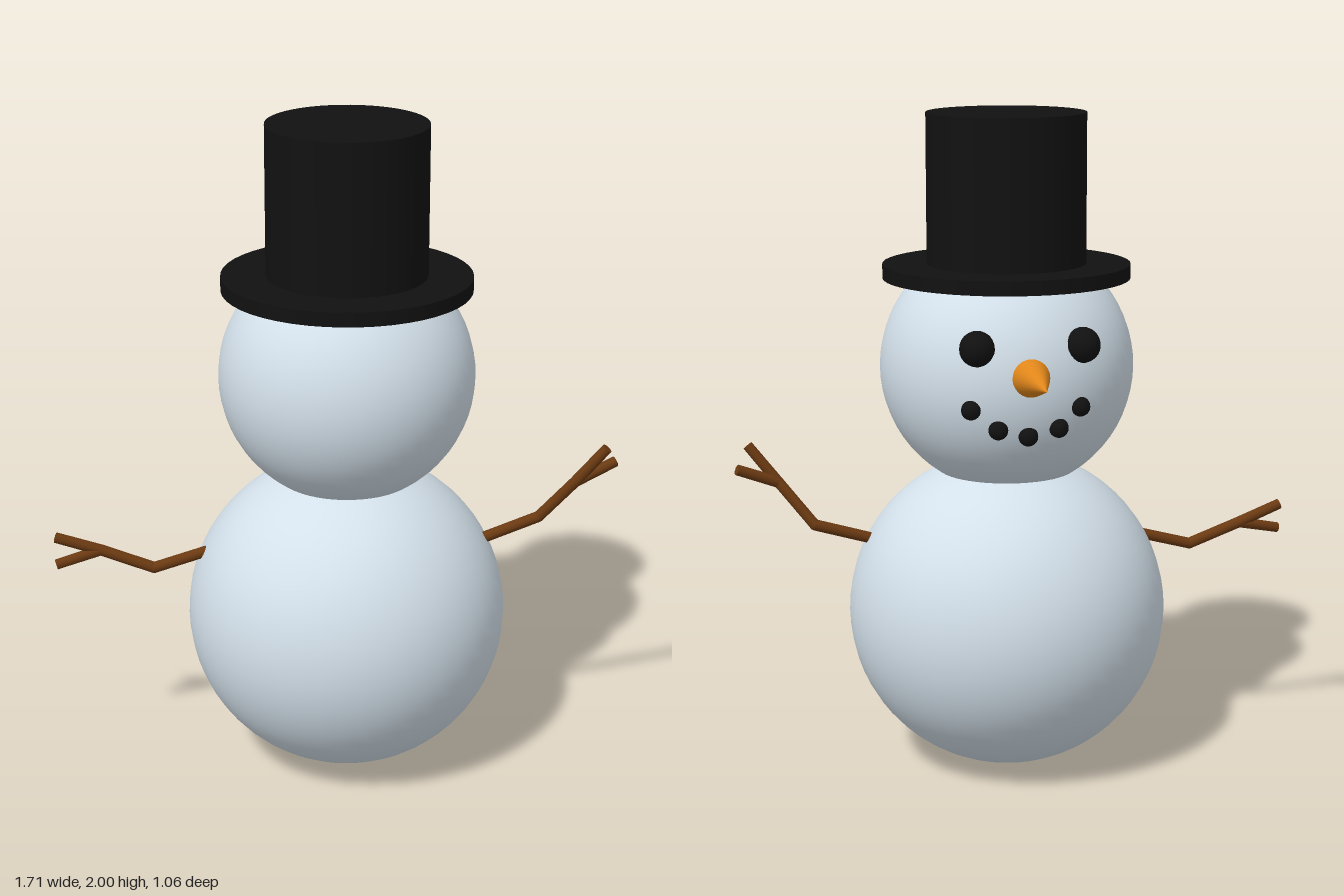
import * as THREE from 'three';

const CX = 0.03, CZ = 0.047; // vertical axis of the figure
const HEAD_Y = 1.246, HEAD_R = 0.381;

const mat = (color) => new THREE.MeshStandardMaterial({ color });
const snow = mat(0xd3e0ea), black = mat(0x111111), orange = mat(0xe0861a), wood = mat(0x6b3a12);

function add(parent, name, geometry, material, x = 0, y = 0, z = 0) {
  const mesh = new THREE.Mesh(geometry, material);
  mesh.name = name;
  mesh.position.set(x, y, z);
  parent.add(mesh);
  return mesh;
}

// Straight twig between two points
function twig(parent, name, a, b, r0, r1) {
  const from = new THREE.Vector3(...a), to = new THREE.Vector3(...b);
  const dir = to.clone().sub(from);
  const mid = from.clone().add(to).multiplyScalar(0.5);
  const mesh = add(parent, name, new THREE.CylinderGeometry(r1, r0, dir.length(), 10), wood, mid.x, mid.y, mid.z);
  mesh.quaternion.setFromUnitVectors(new THREE.Vector3(0, 1, 0), dir.normalize());
}

// Bent stick with two fingers growing from its end
function stickArm(parent, name, path, fingers) {
  const arm = new THREE.Group();
  arm.name = name;
  const r = 0.017;
  for (let i = 0; i < path.length - 1; i++) {
    twig(arm, 'armStick', path[i], path[i + 1], r, r);
    add(arm, 'armJoint', new THREE.SphereGeometry(r, 10, 8), wood, ...path[i + 1]);
  }
  for (const tip of fingers) twig(arm, 'finger', path[path.length - 1], tip, r, r * 0.95);
  parent.add(arm);
}

// Lump of coal pressed into the face; dx, dy are offsets from the head centre
function coal(parent, name, dx, dy, r) {
  const dz = -Math.sqrt(HEAD_R ** 2 - dx * dx - dy * dy);
  add(parent, name, new THREE.SphereGeometry(r, 16, 12), black, CX + dx, HEAD_Y + dy, CZ + dz);
}

export function createModel() {
  const model = new THREE.Group();
  model.name = 'snowman';

  // Snowballs
  add(model, 'body', new THREE.SphereGeometry(0.483, 48, 32), snow, CX, 0.488, CZ);
  add(model, 'head', new THREE.SphereGeometry(HEAD_R, 48, 32), snow, CX, HEAD_Y, CZ);

  // Top hat
  const hat = new THREE.Group();
  hat.name = 'hat';
  add(hat, 'hatBrim', new THREE.CylinderGeometry(0.37, 0.37, 0.043, 48), black, CX, 1.532, CZ);
  add(hat, 'hatCrown', new THREE.CylinderGeometry(0.238, 0.238, 0.48, 48), black, CX, 1.76, CZ);
  model.add(hat);

  // Face, looking towards -z
  for (const side of [-1, 1]) coal(model, 'eye', side * 0.155, 0.111, 0.052);
  const smile = [[-0.145, -0.066], [-0.08, -0.125], [0.01, -0.146], [0.097, -0.125], [0.174, -0.066]];
  for (const [dx, dy] of smile) coal(model, 'mouthCoal', dx, dy, 0.029);
  const nose = add(model, 'nose', new THREE.ConeGeometry(0.06, 0.215, 24), orange, 0.036, 1.273, -0.418);
  nose.rotation.x = -Math.PI / 2;

  // Stick arms
  stickArm(model, 'leftArm',
    [[0.43, 0.712, 0.086], [0.617, 0.772, 0.066], [0.719, 0.9, 0.106]],
    [[0.807, 1.013, 0.128], [0.845, 0.951, 0.08]]);
  stickArm(model, 'rightArm',
    [[-0.395, 0.692, 0.055], [-0.557, 0.647, 0.064], [-0.715, 0.708, 0.057]],
    [[-0.85, 0.758, 0.066], [-0.85, 0.677, 0.083]]);

  return model;
}
